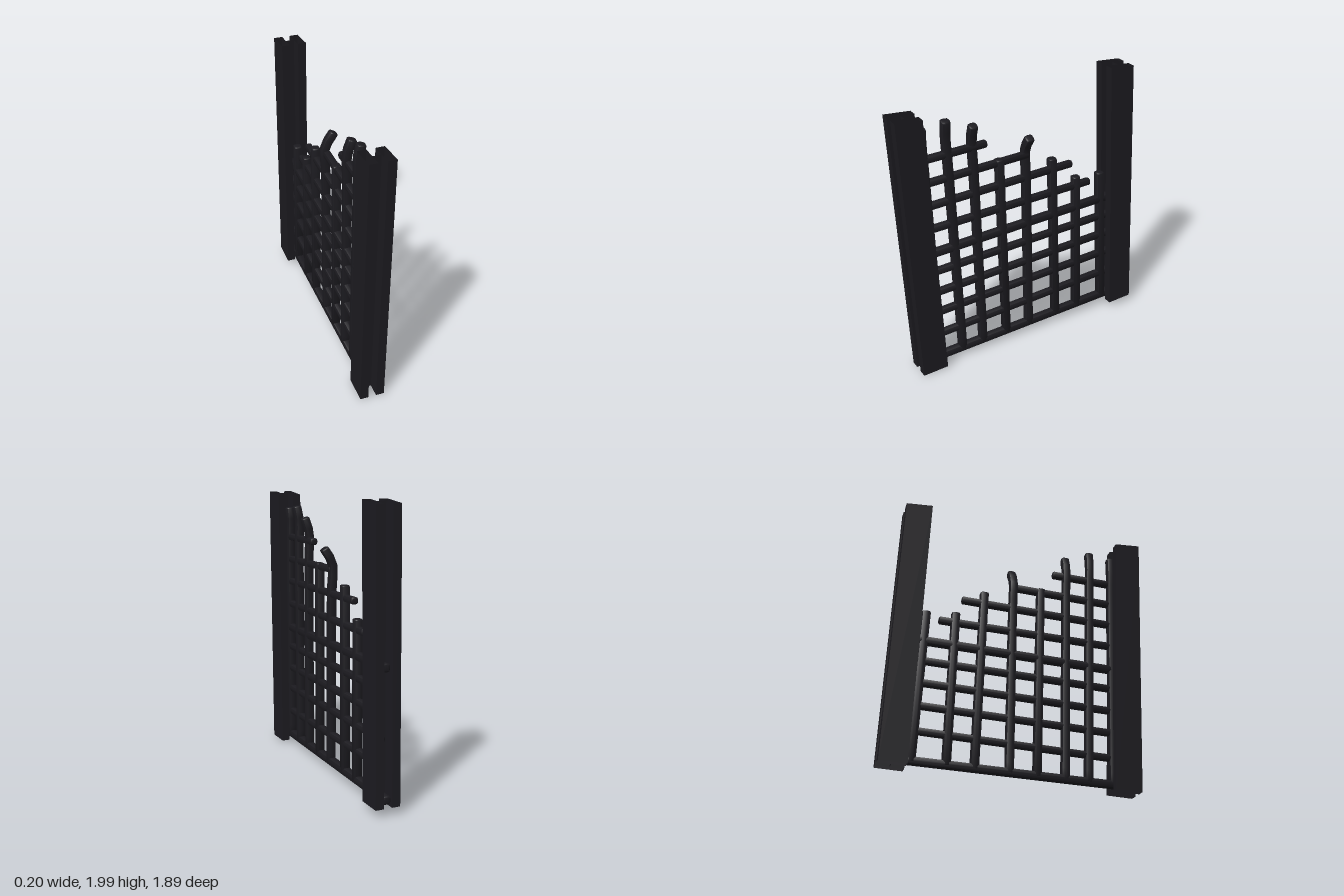
import * as THREE from 'three';
import { toCreasedNormals } from 'three/addons/utils/BufferGeometryUtils.js';

const iron = new THREE.MeshStandardMaterial({ color: 0x1c1b20, side: THREE.DoubleSide });
const LEAN_X = -0.0103, LEAN_Z = 0.0415;
const leanX = (y) => 0.008 + LEAN_X * y;

function mesh(name, geometry) {
  const m = new THREE.Mesh(geometry, iron);
  m.name = name;
  return m;
}

// Shear a piece of post so that it leans, with slightly slanted ends
function lean(geometry) {
  const p = geometry.attributes.position;
  for (let i = 0; i < p.count; i++) {
    const x = p.getX(i), y = p.getY(i), z = p.getZ(i);
    const slant = y > 1 ? 0.08 : -0.04;
    p.setXYZ(i, x + leanX(y), y + slant * z, z + LEAN_Z * y);
  }
  geometry.computeVertexNormals();
  return geometry;
}

// Open-ended thin-walled tube of rectangular section
function tube(x0, x1, depth, height) {
  const w = (x1 - x0) / 2;
  const g = new THREE.CylinderGeometry(Math.SQRT2, Math.SQRT2, height, 4, 1, true).toNonIndexed();
  g.rotateY(Math.PI / 4);
  g.scale(w, 1, depth / 2);
  g.translate((x0 + x1) / 2, height / 2, 0);
  return lean(g);
}

// Post: two hollow tubes joined by a web that leaves a slot on both faces
function post(name, y, z) {
  const group = new THREE.Group();
  group.name = name;
  const height = 1.934;
  group.add(mesh('rightTube', tube(-0.088, -0.029, 0.19, height)));
  group.add(mesh('leftTube', tube(0.029, 0.088, 0.19, height)));
  const web = new THREE.PlaneGeometry(0.058, height);
  web.translate(0, height / 2, 0);
  group.add(mesh('web', lean(web)));
  group.position.set(0, y, z);
  return group;
}

// Rounded square bar swept along points; wide is the in-plane cross direction
function bar(name, points, wide, width, thick) {
  const bevel = 0.009, r = 0.012;
  const a = thick / 2 - bevel, b = width / 2 - bevel;
  const s = new THREE.Shape();
  s.moveTo(-a + r, -b);
  s.lineTo(a - r, -b);
  s.quadraticCurveTo(a, -b, a, -b + r);
  s.lineTo(a, b - r);
  s.quadraticCurveTo(a, b, a - r, b);
  s.lineTo(-a + r, b);
  s.quadraticCurveTo(-a, b, -a, b - r);
  s.lineTo(-a, -b + r);
  s.quadraticCurveTo(-a, -b, -a + r, -b);
  const curve = new THREE.CatmullRomCurve3(points.map((q) => new THREE.Vector3(...q)));
  const length = curve.getLength();
  const g = new THREE.ExtrudeGeometry(s, {
    depth: length, steps: points.length > 2 ? 24 : 1, curveSegments: 2,
    bevelEnabled: true, bevelSize: bevel, bevelThickness: bevel, bevelSegments: 2,
  });
  const p = g.attributes.position, v = new THREE.Vector3();
  for (let i = 0; i < p.count; i++) {
    v.fromBufferAttribute(p, i);
    const t = THREE.MathUtils.clamp(v.z / length, 0, 1);
    const tangent = curve.getTangentAt(t);
    const side = new THREE.Vector3().crossVectors(wide, tangent).normalize();
    const out = curve.getPointAt(t)
      .addScaledVector(side, v.x)
      .addScaledVector(wide, v.y)
      .addScaledVector(tangent, v.z - t * length);
    p.setXYZ(i, out.x, out.y, out.z);
  }
  g.computeVertexNormals();
  return mesh(name, toCreasedNormals(g, 0.9));
}

export function createModel() {
  const model = new THREE.Group();
  model.name = 'brokenGate';
  model.add(post('frontPost', 0.01, 0.767), post('rearPost', 0.058, -0.852));

  const lattice = new THREE.Group();
  lattice.name = 'lattice';
  const Y = new THREE.Vector3(0, 1, 0), Z = new THREE.Vector3(0, 0, 1);

  // Horizontal bars: height at z = 0.7, height at the far end, z of the far end
  const rows = [
    [0.063, 0.107, -0.92], [0.25, 0.312, -0.83], [0.435, 0.49, -0.83], [0.6, 0.655, -0.82],
    [0.77, 0.815, -0.81], [0.92, 0.967, -0.87], [1.107, 1.133, -0.57], [1.28, 1.315, -0.41],
    [1.45, 1.475, -0.05], [1.62, 1.632, 0.275],
  ];
  rows.forEach(([y0, y1, z1], i) => {
    const z0 = 0.76 + 0.03 * (i / 9);
    const rail = i === 0 || i === 5;
    lattice.add(bar('horizontalBar' + (i + 1),
      [[leanX(y0), y0, z0], [leanX(y1), y1, z1]], Y, rail ? 0.058 : 0.051, rail ? 0.058 : 0.052));
  });

  // Upright bars: z at bottom, z at top, height at top, sideways bend of the tip
  const uprights = [
    [0.685, 0.735, 1.835, 0.005], [0.505, 0.565, 1.858, 0.014], [0.335, 0.375, 1.788, 0.028],
    [0.135, 0.17, 1.485, 0], [-0.06, -0.038, 1.615, 0.055], [-0.3, -0.255, 1.388, 0],
    [-0.49, -0.46, 1.195, 0], [-0.725, -0.67, 1.175, 0],
  ];
  uprights.forEach(([z0, z1, top, bend], i) => {
    const bottom = 0.08 - 0.02 * z0;
    const at = (y, dx) => [leanX(y) + dx, y, z0 + (z1 - z0) * (y - bottom) / (top - bottom)];
    const path = bend
      ? [at(bottom, 0), at(0.7, 0), at(top - 0.3, 0), at(top - 0.1, -0.004), at(top, bend)]
      : [at(bottom, 0), at(top, 0)];
    lattice.add(bar('uprightBar' + (i + 1), path, Z, 0.062, 0.06));
  });
  model.add(lattice);
  return model;
}
